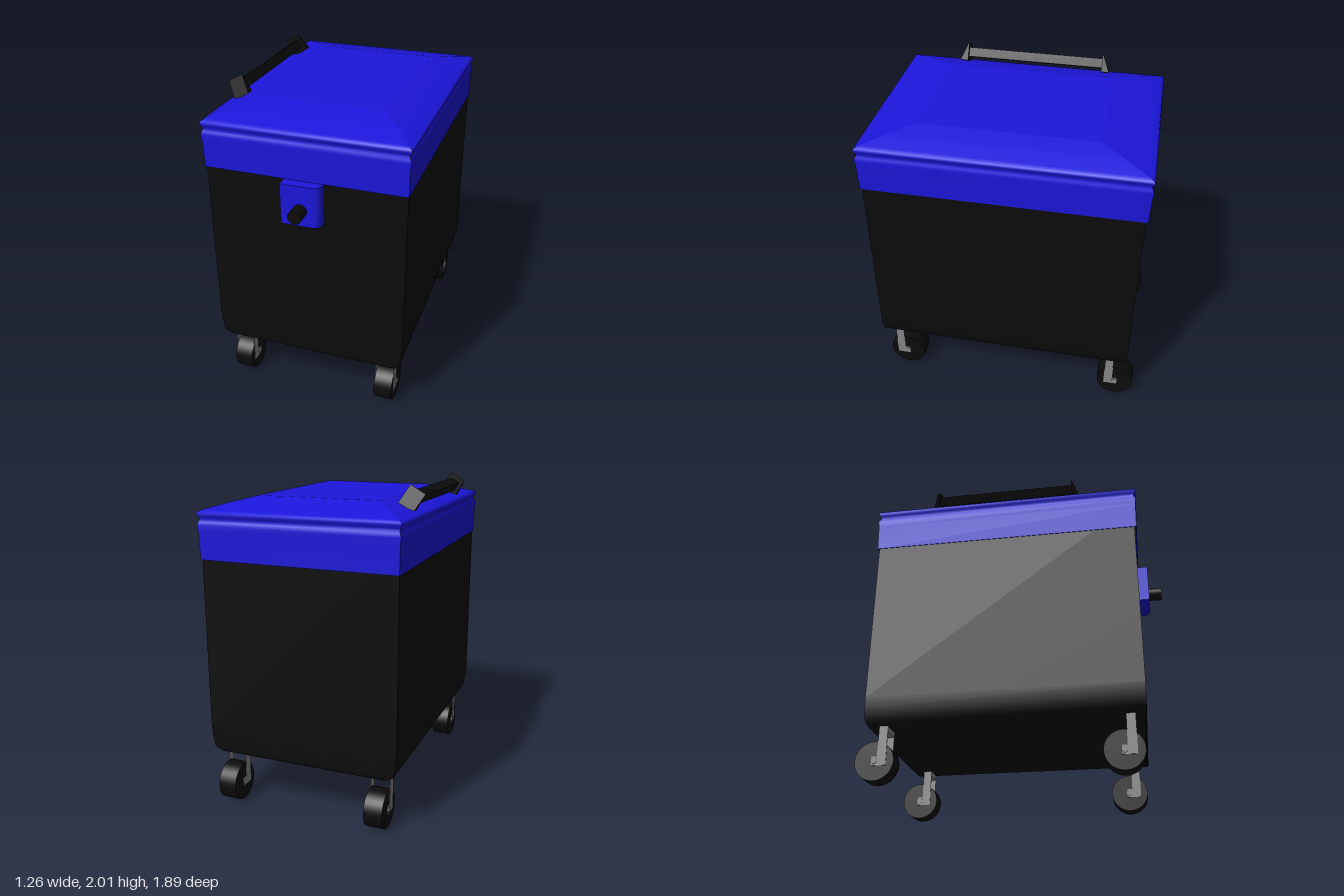
import * as THREE from 'three';

const material = (color) => new THREE.MeshStandardMaterial({ color });
const black = material(0x0c0c0c);
const blue = material(0x1c16dc);
const grey = material(0x888888);

function add(parent, name, geometry, mat, x = 0, y = 0, z = 0) {
  const mesh = new THREE.Mesh(geometry, mat);
  mesh.name = name;
  mesh.position.set(x, y, z);
  parent.add(mesh);
  return mesh;
}

// Stacks rectangles [y, halfX, halfZ]; smooth up each side, sharp at the corners.
function loftBox(rings) {
  const pos = [], index = [];
  const corners = ([y, hx, hz]) => [[hx, y, hz], [hx, y, -hz], [-hx, y, -hz], [-hx, y, hz]];
  for (let side = 0; side < 4; side++) {
    const base = pos.length / 3;
    rings.forEach((ring, i) => {
      const c = corners(ring);
      pos.push(...c[side], ...c[(side + 1) % 4]);
      if (i === 0) return;
      const a = base + 2 * (i - 1);
      index.push(a, a + 1, a + 3, a, a + 3, a + 2);
    });
  }
  const bottom = pos.length / 3;
  corners(rings[0]).forEach((p) => pos.push(...p));
  corners(rings[rings.length - 1]).forEach((p) => pos.push(...p));
  index.push(bottom, bottom + 2, bottom + 1, bottom, bottom + 3, bottom + 2);
  index.push(bottom + 4, bottom + 5, bottom + 6, bottom + 4, bottom + 6, bottom + 7);
  const g = new THREE.BufferGeometry();
  g.setAttribute('position', new THREE.Float32BufferAttribute(pos, 3));
  g.setIndex(index);
  g.computeVertexNormals();
  return g;
}

// Handle end: a block whose outer face slopes in to a thin upper edge.
function bracketGeometry(dir) {
  const g = new THREE.BoxGeometry(0.105, 0.115, 0.055).toNonIndexed();
  const p = g.attributes.position;
  for (let i = 0; i < p.count; i++) {
    const outer = p.getZ(i) * dir > 0;
    p.setZ(i, outer ? dir * (p.getY(i) > 0 ? 0.004 : 0.052) : 0);
  }
  g.computeVertexNormals();
  return g;
}

function createCaster(x, z) {
  const caster = new THREE.Group();
  caster.name = 'caster';
  caster.position.set(x, 0, z);
  const wheel = new THREE.CylinderGeometry(0.12, 0.12, 0.116, 40).rotateZ(Math.PI / 2);
  add(caster, 'wheel', wheel, black, 0, 0.12, 0);
  const axle = new THREE.CylinderGeometry(0.02, 0.02, 0.134, 16).rotateZ(Math.PI / 2);
  add(caster, 'axle', axle, grey, 0, 0.12, 0);
  add(caster, 'forkTop', new THREE.BoxGeometry(0.124, 0.034, 0.056), grey, 0, 0.317, 0.046);

  // Thin L-shaped fork legs on both sides of the wheel
  const leg = new THREE.Shape([
    [-0.074, 0.09], [0.016, 0.09], [0.016, 0.145], [-0.018, 0.145], [-0.018, 0.334], [-0.074, 0.334],
  ].map(([a, b]) => new THREE.Vector2(a, b)));
  const legGeometry = new THREE.ExtrudeGeometry(leg, { depth: 0.004, bevelEnabled: false })
    .translate(0, 0, -0.002).rotateY(Math.PI / 2);
  for (const s of [-1, 1]) add(caster, 'forkLeg', legGeometry, grey, s * 0.061, 0, 0);
  return caster;
}

export function createModel() {
  const model = new THREE.Group();
  model.name = 'wheeledBin';
  const midZ = -0.05;

  // Container
  add(model, 'body', loftBox([
    [0.33, 0.54, 0.826], [0.342, 0.568, 0.833], [0.36, 0.595, 0.836], [0.43, 0.609, 0.838],
    [0.5, 0.614, 0.839], [1.75, 0.614, 0.84],
  ]), black, 0, 0, midZ);

  // Lid with a grooved rim and a shallow hipped top
  add(model, 'lid', loftBox([
    [1.56, 0.618, 0.852], [1.73, 0.622, 0.856], [1.765, 0.626, 0.86], [1.785, 0.62, 0.855],
    [1.8, 0.613, 0.847], [1.815, 0.619, 0.852], [1.832, 0.628, 0.862], [1.846, 0.624, 0.856],
    [1.856, 0.6, 0.83], [1.888, 0.5, 0.69], [1.917, 0.39, 0.54],
  ]), blue, 0, 0, midZ);

  // Tilted lid handle
  const handle = new THREE.Group();
  handle.name = 'lidHandle';
  handle.position.set(-0.56, 1.93, midZ);
  handle.rotation.z = Math.PI / 6;
  add(handle, 'handleBar', new THREE.BoxGeometry(0.06, 0.06, 0.91), black);
  for (const s of [-1, 1]) add(handle, 'handleBracket', bracketGeometry(s), black, 0, 0, s * 0.448);
  model.add(handle);

  // Latch cover, rounded on one edge, with a lock knob
  const plan = new THREE.Shape();
  plan.moveTo(-0.12, -0.77);
  plan.lineTo(-0.12, -0.864);
  plan.lineTo(0.06, -0.864);
  plan.quadraticCurveTo(0.12, -0.862, 0.12, -0.81);
  plan.lineTo(0.12, -0.77);
  const cover = new THREE.ExtrudeGeometry(plan, { depth: 0.255, bevelEnabled: false, curveSegments: 8 })
    .rotateX(-Math.PI / 2);
  add(model, 'latchCover', cover, blue, 0, 1.302, 0);
  const knob = new THREE.CylinderGeometry(0.042, 0.042, 0.12, 24).rotateX(Math.PI / 2);
  add(model, 'latchKnob', knob, black, 0, 1.402, 0.89);

  // Casters
  for (const x of [-0.488, 0.488]) {
    for (const z of [0.647, -0.825]) model.add(createCaster(x, z));
  }
  return model;
}
